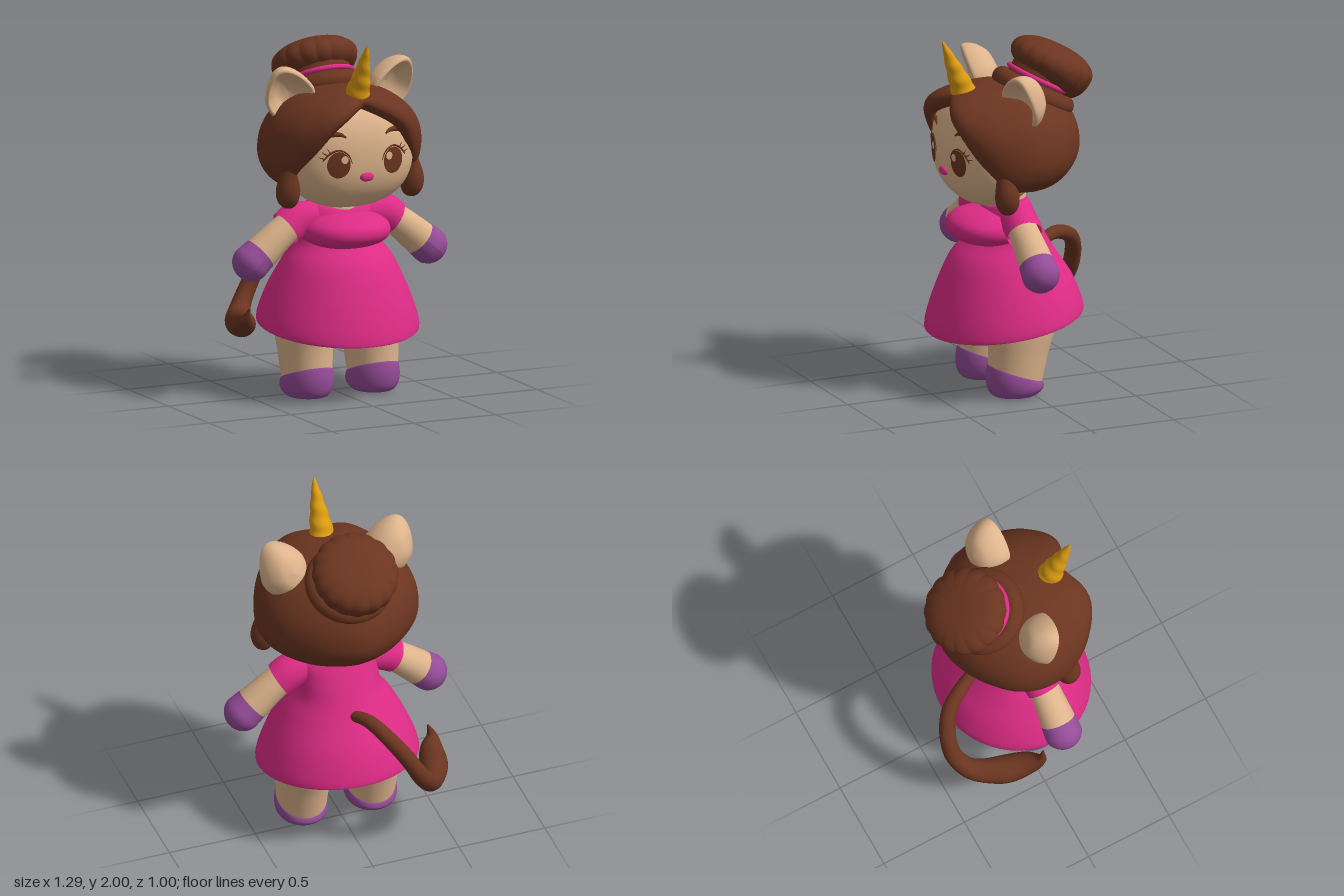
import * as THREE from 'three';
import { ParametricGeometry } from 'three/addons/geometries/ParametricGeometry.js';

const V = (x, y, z) => new THREE.Vector3(x, y, z);
const TAU = Math.PI * 2;

// Smooth interpolation through rows of numbers, t in 0..1
function key(rows, t) {
  const n = rows.length - 1, f = Math.min(Math.max(t, 0), 1) * n;
  const i = Math.min(Math.floor(f), n - 1), w = f - i;
  const a = rows[Math.max(i - 1, 0)], b = rows[i], c = rows[i + 1], d = rows[Math.min(i + 2, n)];
  return b.map((_, j) => 0.5 * (2 * b[j] + (c[j] - a[j]) * w
    + (2 * a[j] - 5 * b[j] + 4 * c[j] - d[j]) * w * w + (3 * (b[j] - c[j]) + d[j] - a[j]) * w * w * w));
}

// Elliptical rings from bottom to top: [y, rx, rz, centreZ, slope along z]
function loft(rows, cx = 0, warp = () => 0) {
  return new ParametricGeometry((u, v, p) => {
    const [y, rx, rz, cz, slope] = key(rows, v), a = u * TAU, dz = rz * Math.cos(a);
    p.set(cx + rx * Math.sin(a), y + slope * dz + warp(a, v), cz + dz);
  }, 48, 36);
}

// Round tube of changing radius; the far end may be domed
function sweep(points, radii, dome = false, n = 32, m = 20) {
  const curve = new THREE.CatmullRomCurve3(points);
  const g = new THREE.TubeGeometry(curve, n, 1, m), pos = g.attributes.position;
  const p = V(0, 0, 0);
  for (let i = 0; i <= n; i++) {
    const u = i / n, c = curve.getPointAt(u);
    let r = key(radii.map((x) => [x]), u)[0];
    if (dome && u > 0.4) r *= Math.sqrt(Math.max(0, 1 - ((u - 0.4) / 0.6) ** 2));
    for (let j = 0; j <= m; j++) {
      const k = i * (m + 1) + j;
      p.fromBufferAttribute(pos, k).sub(c).multiplyScalar(r).add(c);
      pos.setXYZ(k, p.x, p.y, p.z);
    }
  }
  if (dome) g.computeVertexNormals();
  return g;
}

// Rounded, slightly boxy ellipsoid
function blob(c, r, e = 2) {
  const g = new THREE.SphereGeometry(1, 48, 32), pos = g.attributes.position, nor = g.attributes.normal;
  const p = V(0, 0, 0), n = V(0, 0, 0);
  const pw = (x) => Math.sign(x) * Math.abs(x) ** (e - 1);
  for (let i = 0; i < pos.count; i++) {
    p.fromBufferAttribute(pos, i);
    p.multiplyScalar((Math.abs(p.x) ** e + Math.abs(p.y) ** e + Math.abs(p.z) ** e) ** (-1 / e));
    n.set(pw(p.x) / r[0], pw(p.y) / r[1], pw(p.z) / r[2]).normalize();
    pos.setXYZ(i, c[0] + p.x * r[0], c[1] + p.y * r[1], c[2] + p.z * r[2]);
    nor.setXYZ(i, n.x, n.y, n.z);
  }
  return g;
}

// Head shape, shared by the face details
const HC = [0, 1.37, 0.18], HR = [0.372, 0.31, 0.25], HE = 2.35;
function face(x, y, off = 0) {
  const q = 1 - Math.abs(x / HR[0]) ** HE - Math.abs((y - HC[1]) / HR[1]) ** HE;
  return V(x, y, HC[2] + HR[2] * Math.max(q, 0) ** (1 / HE) + off);
}
function faceDisc(cx, cy, rx, ry, off) {
  const g = new THREE.RingGeometry(0.001, 1, 32, 5), pos = g.attributes.position;
  for (let i = 0; i < pos.count; i++) {
    const p = face(cx + pos.getX(i) * rx, cy + pos.getY(i) * ry, off);
    pos.setXYZ(i, p.x, p.y, p.z);
  }
  g.computeVertexNormals();
  return g;
}

export function createModel() {
  const root = new THREE.Group();
  root.name = 'hornedDoll';
  const mat = (name, color, side = THREE.FrontSide) => {
    const m = new THREE.MeshStandardMaterial({ color, side });
    m.name = name;
    return m;
  };
  const skin = mat('tan', 0xdeb48c), pink = mat('pink', 0xde2c86, THREE.DoubleSide);
  const purple = mat('purple', 0x954c98), brown = mat('brown', 0x6b3520, THREE.DoubleSide);
  const gold = mat('gold', 0xdc9c10);
  const add = (name, geo, m, parent = root) => {
    const mesh = new THREE.Mesh(geo, m);
    mesh.name = name;
    parent.add(mesh);
    return mesh;
  };

  // Dress with scooped neckline, open below
  add('dress', loft([
    [0.4, 0.425, 0.41, 0.065, -0.14], [0.39, 0.449, 0.432, 0.065, -0.14],
    [0.46, 0.438, 0.42, 0.065, -0.12], [0.6, 0.385, 0.37, 0.065, -0.08],
    [0.75, 0.31, 0.29, 0.07, -0.03], [0.86, 0.24, 0.21, 0.05, 0],
    [0.96, 0.225, 0.165, 0.055, 0], [1.04, 0.215, 0.13, 0.06, 0],
    [1.077, 0.17, 0.11, 0.06, 0], [1.075, 0.11, 0.07, 0.06, 0],
  ], 0, (a, v) => {
    const d = Math.min(a, TAU - a);
    return -0.07 * Math.exp(-((d / 0.75) ** 2)) * v ** 5;
  }), pink);
  add('bust', blob([0, 0.925, 0.14], [0.25, 0.1, 0.243], 2.25), pink);
  add('neck', loft([[0.98, 0.135, 0.115, 0.06, 0], [1.05, 0.125, 0.118, 0.06, 0], [1.2, 0.12, 0.09, 0.05, 0]]), skin);
  add('hips', blob([0, 0.64, 0.05], [0.29, 0.19, 0.2]), skin);

  // Head, nose
  add('head', blob(HC, HR, HE), skin);
  add('nose', blob([0, 1.265, 0.423], [0.04, 0.024, 0.022], 2.4), pink);

  for (const s of [1, -1]) {
    const side = s > 0 ? 'left' : 'right';

    // Legs and feet
    add(side + 'Leg', loft([
      [0.125, 0.138, 0.15, 0.088, 0.35], [0.25, 0.148, 0.168, 0.07, 0.1],
      [0.4, 0.16, 0.195, 0.05, 0], [0.6, 0.16, 0.19, 0.04, 0],
    ], s * 0.2), skin);
    add(side + 'Foot', loft([
      [0, 0.001, 0.001, 0.09, 0], [0.001, 0.085, 0.095, 0.09, 0], [0.012, 0.116, 0.131, 0.09, 0],
      [0.04, 0.138, 0.154, 0.09, 0.05], [0.08, 0.146, 0.162, 0.09, 0.2],
      [0.125, 0.141, 0.153, 0.088, 0.35], [0.125, 0.13, 0.14, 0.088, 0.35],
    ], s * 0.2), purple);

    // Arms, sleeves and hands
    add(side + 'Sleeve', sweep([V(s * 0.1, 1.0, 0.07), V(s * 0.19, 0.998, 0.08), V(s * 0.27, 0.983, 0.085),
      V(s * 0.33, 0.945, 0.09)], [0.07, 0.085, 0.102, 0.098]), pink);
    add(side + 'Arm', sweep([V(s * 0.25, 1.0, 0.088), V(s * 0.38, 0.905, 0.09), V(s * 0.5, 0.805, 0.09)],
      [0.08, 0.088, 0.098]), skin);
    add(side + 'Hand', sweep([V(s * 0.485, 0.82, 0.09), V(s * 0.545, 0.77, 0.09), V(s * 0.617, 0.708, 0.09)],
      [0.099, 0.106, 0.106], true), purple);

    // Cupped ears, narrowed towards the tip
    const profile = new THREE.SplineCurve([[0.001, -0.11], [0.07, -0.09], [0.118, -0.035], [0.135, 0.025],
      [0.122, 0.045], [0.1, 0.025], [0.055, -0.02], [0.001, -0.035]].map((p) => new THREE.Vector2(...p)));
    const ear = new THREE.LatheGeometry(profile.getPoints(36), 40);
    ear.rotateX(Math.PI / 2).scale(1.04, 1.33, 1);
    const ep = ear.attributes.position;
    for (let i = 0; i < ep.count; i++) {
      const y = ep.getY(i);
      if (y > 0) ep.setX(i, ep.getX(i) * (1 - 1.5 * y));
    }
    ear.computeVertexNormals();
    ear.rotateX(0.2).rotateY(s * 0.36).rotateZ(-s * 0.36).translate(s * 0.305, 1.695, 0.08);
    add(side + 'Ear', ear, skin);

    // Eyes, lashes and brows
    const line = (pts, r, off = 0.002) => sweep(pts.map(([x, y]) => face(s * x, y, off)), r, false, 14, 8);
    add(side + 'Eye', faceDisc(s * 0.165, 1.343, 0.064, 0.074, 0.004), brown);
    add(side + 'EyeGlint', faceDisc(s * 0.135, 1.372, 0.02, 0.022, 0.008), skin);
    add(side + 'EyeLid', line([[0.09, 1.35], [0.115, 1.4], [0.165, 1.425], [0.215, 1.405], [0.25, 1.365]],
      [0.002, 0.004, 0.005, 0.006, 0.003]), brown);
    for (const [x, y, dx, dy] of [[0.205, 1.41, 0.02, 0.025], [0.225, 1.4, 0.028, 0.018], [0.24, 1.38, 0.03, 0.01]])
      add(side + 'Lash', line([[x, y], [x + dx * 0.6, y + dy * 0.4], [x + dx, y + dy]], [0.004, 0.003, 0.001], 0.004), brown);
    add(side + 'Brow', line([[0.12, 1.492], [0.145, 1.508], [0.185, 1.511], [0.23, 1.494]],
      [0.005, 0.012, 0.013, 0.004]), brown);

    // Curled side locks
    add(side + 'Lock', sweep([V(s * 0.34, 1.36, 0.22), V(s * 0.365, 1.27, 0.22), V(s * 0.377, 1.18, 0.215),
      V(s * 0.37, 1.082, 0.21)], [0.045, 0.052, 0.075, 0.09], true), brown);
  }

  // Hair cap, front to back: [size, widest height, rim height, rim inset]
  const hairRows = [
    [0.82, 1.67, 1.63, 0.78], [1.06, 1.585, 1.545, 0.86], [1.07, 1.47, 1.36, 0.88], [1.03, 1.39, 1.22, 0.82],
    [1, 1.37, 1.18, 0.65], [0.97, 1.37, 1.15, 0.45], [0.94, 1.38, 1.125, 0.35], [0.96, 1.38, 1.125, 0.3],
    [1, 1.38, 1.13, 0.3],
  ];
  add('hair', new ParametricGeometry((u, v, p) => {
    const a = u * TAU, [size, yMid, yRim, inset] = key(hairRows, Math.min(u, 1 - u) * 2);
    let r, y;
    if (v > 0.4) {
      const b = 0.002 + (1 - v) / 0.6 * (Math.PI / 2 - 0.002);
      r = Math.sin(b) ** 0.92;
      y = yMid + (1.73 - yMid) * Math.max(Math.cos(b), 0) ** 0.92;
    } else {
      const b = (0.4 - v) / 0.4 * Math.PI / 2;
      r = inset + (1 - inset) * Math.cos(b);
      y = yMid - (yMid - yRim) * Math.sin(b);
    }
    p.set(0.455 * size * r * Math.sin(a), y, 0.13 - 0.08 * r + 0.41 * size * r * Math.cos(a));
  }, 96, 48), brown);

  // Leaning bun with a base roll and ribbon, fuller underneath at the back
  const bun = new THREE.Group();
  bun.name = 'bun';
  bun.position.set(0, 1.65, -0.11);
  bun.rotation.x = -0.49;
  root.add(bun);
  add('bunRoll', new THREE.TorusGeometry(0.185, 0.057, 16, 48).rotateX(Math.PI / 2), brown, bun);
  add('bunCore', new THREE.CylinderGeometry(0.17, 0.18, 0.2, 40).translate(0, 0.03, 0), brown, bun);
  add('ribbon', new THREE.TorusGeometry(0.178, 0.014, 12, 48).rotateX(Math.PI / 2).translate(0, 0.077, 0), pink, bun);
  add('bunTop', new ParametricGeometry((u, v, p) => {
    const a = u * TAU, b = (v - 0.5) * Math.PI * 0.999, c = Math.cos(b) ** 0.75;
    const r = 0.238 * c * (1 + 0.035 * c * (Math.abs(Math.sin(a * 8)) - 0.6));
    const z = r * Math.cos(a), depth = b < 0 ? 0.105 + 0.3 * Math.max(0.1 - z, 0) : 0.108;
    p.set(r * Math.sin(a), 0.185 + depth * Math.sin(b), z - 0.028);
  }, 128, 28), brown, bun);

  // Spiral horn
  const horn = add('horn', new ParametricGeometry((u, v, p) => {
    const a = u * TAU, f = (v * 4 + u) % 1;
    const r = 0.074 * Math.max(1 - v, 0.005) ** 0.74 * (0.95 + 0.09 * Math.sin(f * Math.PI) ** 2);
    p.set(r * Math.sin(a), v * 0.355, r * Math.cos(a));
  }, 40, 70), gold);
  horn.position.set(0, 1.673, 0.295);
  horn.rotation.x = 0.4;

  // Tail curling round to the right with a fuller tip
  add('tail', sweep([V(0, 0.79, -0.16), V(-0.06, 0.81, -0.27), V(-0.13, 0.76, -0.39), V(-0.22, 0.64, -0.45),
    V(-0.3, 0.5, -0.45), V(-0.38, 0.4, -0.38), V(-0.45, 0.378, -0.24), V(-0.485, 0.39, -0.11),
    V(-0.515, 0.43, -0.03), V(-0.5, 0.49, -0.01)],
  [0.03, 0.038, 0.042, 0.045, 0.047, 0.053, 0.066, 0.079, 0.06, 0.006], false, 60), brown);

  return root;
}
